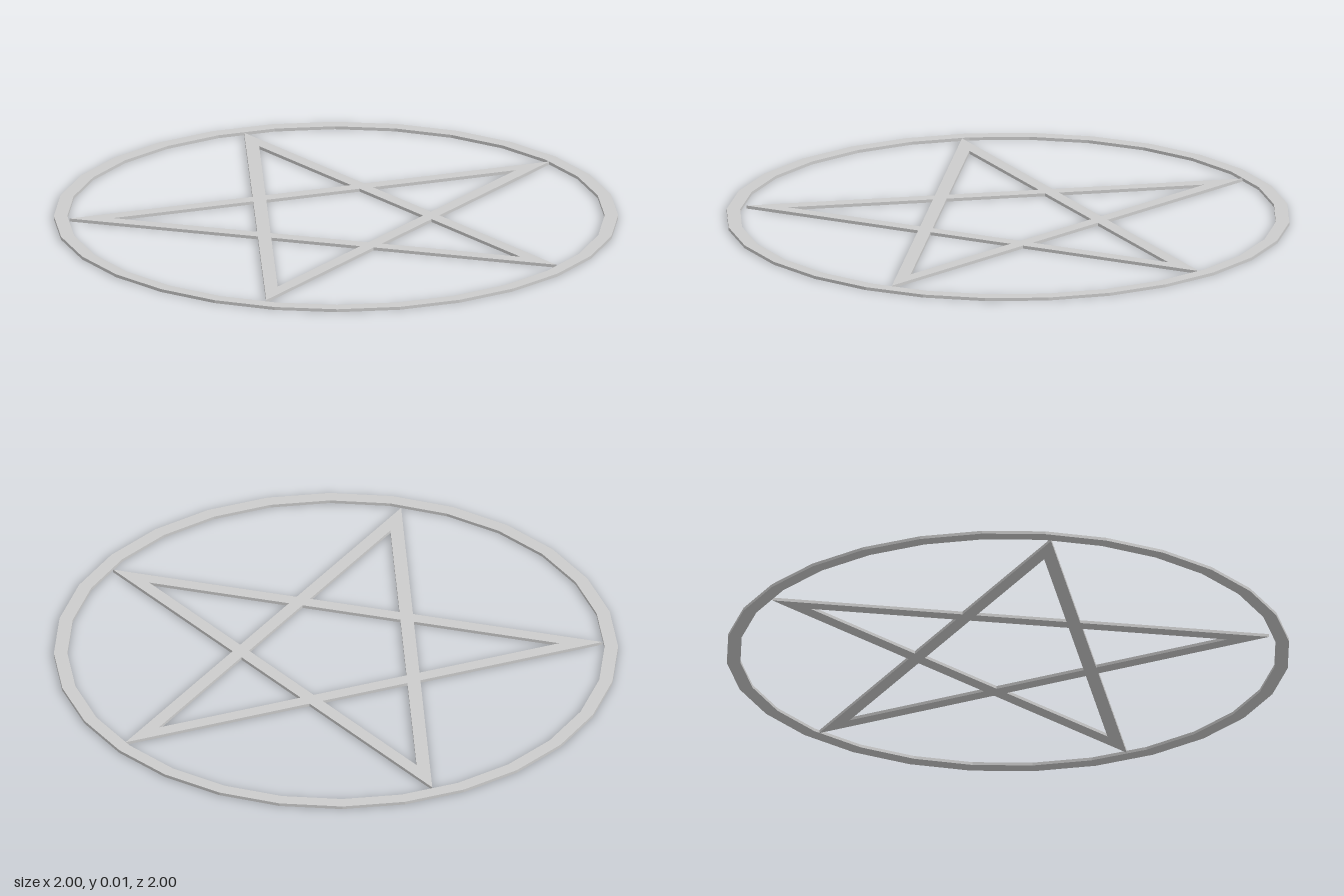
import * as THREE from 'three';

const HEIGHT = 0.011;
const RING_SIDES = 28;
const BAR_WIDTH = 0.047;

// Star tips as (x, z), in order around the circle
const TIPS = [
  [-0.945, 0.005], [-0.3, -0.893], [0.773, -0.555], [0.765, 0.547], [-0.273, 0.893],
].map(([x, z]) => new THREE.Vector2(x, z));

// Flat plate lying on the ground from an outline in (x, z)
function plate(name, outline, holes) {
  const shape = new THREE.Shape(outline);
  shape.holes = holes.map((points) => new THREE.Path(points));
  const geometry = new THREE.ExtrudeGeometry(shape, { depth: HEIGHT, bevelEnabled: false });
  geometry.rotateX(Math.PI / 2).translate(0, HEIGHT, 0);
  const material = new THREE.MeshStandardMaterial({ color: 0xcccccc, flatShading: true });
  const mesh = new THREE.Mesh(geometry, material);
  mesh.name = name;
  return mesh;
}

function polygon(radius) {
  return Array.from({ length: RING_SIDES }, (_, i) => {
    const a = THREE.MathUtils.degToRad(1.4) + (i / RING_SIDES) * Math.PI * 2;
    return new THREE.Vector2(Math.sin(a) * radius, -Math.cos(a) * radius);
  });
}

// Line through two points, moved towards the centre by an offset
function line(a, b, offset) {
  const dir = b.clone().sub(a).normalize();
  const normal = new THREE.Vector2(-dir.y, dir.x);
  if (normal.dot(a) > 0) normal.negate();
  return { point: a.clone().addScaledVector(normal, offset), dir };
}

function meet(l, m) {
  const t = m.point.clone().sub(l.point).cross(m.dir) / l.dir.cross(m.dir);
  return l.point.clone().addScaledVector(l.dir, t);
}

// Five crossing bars with a triangular gap at each tip and a pentagon in the middle
function createStar() {
  const at = (list, i) => list[(i + 5) % 5];
  // Bar i joins tip i to tip i + 2
  const outer = TIPS.map((tip, i) => line(tip, at(TIPS, i + 2), 0));
  const inner = TIPS.map((tip, i) => line(tip, at(TIPS, i + 2), BAR_WIDTH));
  const outline = [];
  const pentagon = [];
  const holes = [pentagon];
  for (let i = 0; i < 5; i++) {
    // Bars i and i - 2 form tip i; bar i - 1 crosses below it
    const a = at(inner, i), b = at(inner, i - 2), base = at(outer, i - 1);
    outline.push(TIPS[i], meet(at(outer, i), at(outer, i - 1)));
    holes.push([meet(a, b), meet(a, base), meet(b, base)]);
    pentagon.push(meet(a, at(inner, i - 1)));
  }
  return plate('star', outline, holes);
}

export function createModel() {
  const model = new THREE.Group();
  model.name = 'starInRing';
  model.add(plate('ring', polygon(1), [polygon(0.952)]));
  model.add(createStar());
  return model;
}
